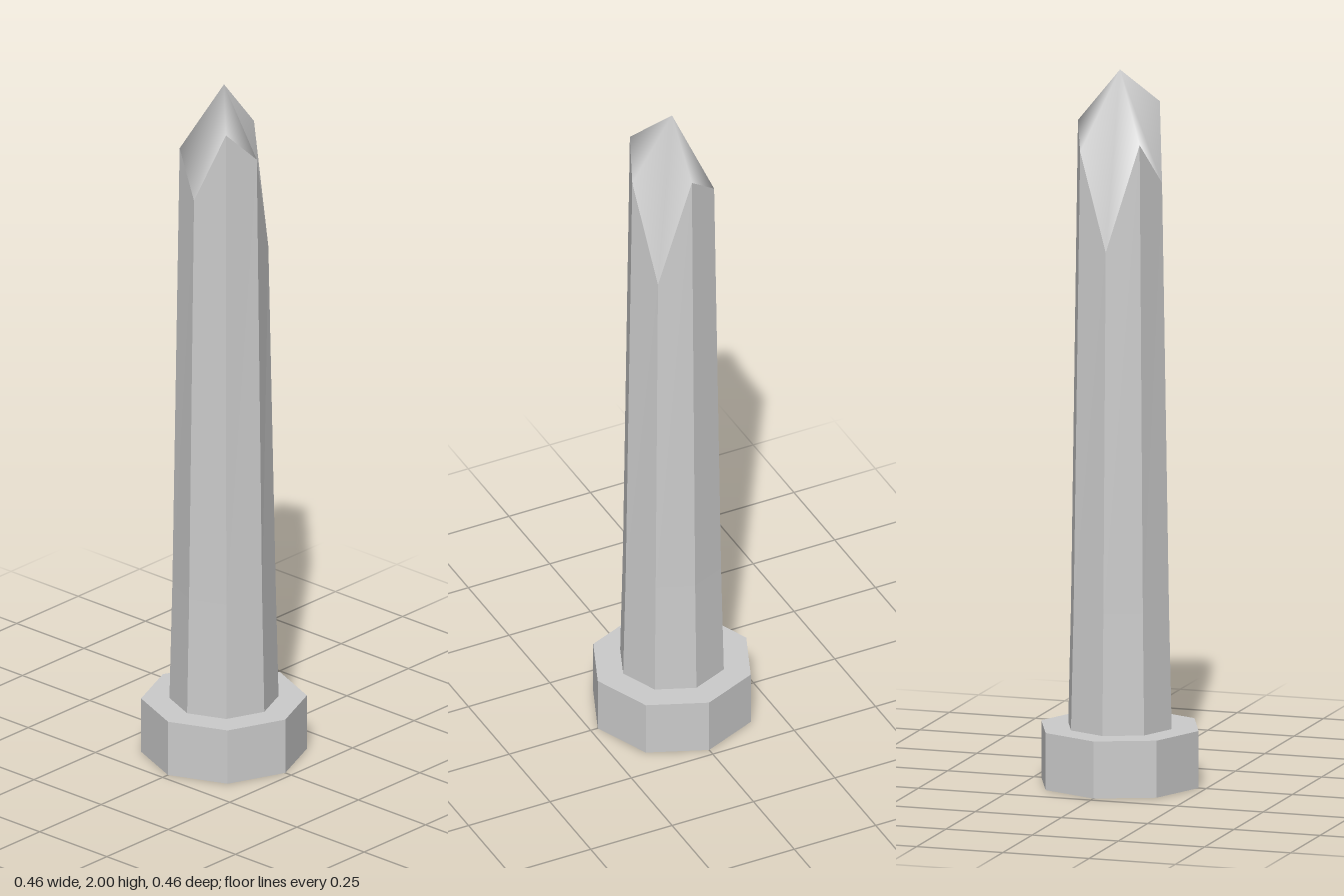
import * as THREE from 'three';

const SIDES = 8;
const FOOT_HEIGHT = 0.16;
const TIP_RADIUS = 0.122;
// Height of each shaft corner, counted from +z towards +x
const CORNER_HEIGHTS = [1.69, 1.9, 1.81, 1.51, 1.85, 1.78, 1.51, 1.81];

function part(name, geometry, flatShading) {
  const material = new THREE.MeshStandardMaterial({ color: 0xcccccc, flatShading });
  const mesh = new THREE.Mesh(geometry, material);
  mesh.name = name;
  return mesh;
}

// Octagonal tapered shaft whose upper rim is broken off unevenly
function shaftGeometry() {
  const geometry = new THREE.CylinderGeometry(1, 1, 1, SIDES, 2, true);
  const pos = geometry.attributes.position;
  const radii = [TIP_RADIUS, 0.142, 0.15];
  for (let i = 0; i < pos.count; i++) {
    const row = Math.floor(i / (SIDES + 1));
    const corner = (i % (SIDES + 1)) % SIDES;
    const y = [CORNER_HEIGHTS[corner], 0.5, FOOT_HEIGHT][row];
    pos.setXYZ(i, pos.getX(i) * radii[row], y, pos.getZ(i) * radii[row]);
  }
  geometry.computeVertexNormals();
  return geometry;
}

// Fan from the uneven rim up to a central point, smoothly shaded
function tipGeometry() {
  const points = [0, 2, 0];
  const index = [];
  CORNER_HEIGHTS.forEach((y, i) => {
    const a = (i / SIDES) * Math.PI * 2;
    points.push(Math.sin(a) * TIP_RADIUS, y, Math.cos(a) * TIP_RADIUS);
    index.push(0, 1 + i, 1 + ((i + 1) % SIDES));
  });
  const geometry = new THREE.BufferGeometry();
  geometry.setAttribute('position', new THREE.Float32BufferAttribute(points, 3));
  geometry.setIndex(index);
  geometry.computeVertexNormals();
  return geometry;
}

export function createModel() {
  const group = new THREE.Group();
  group.name = 'post';

  // Wide octagonal foot
  const foot = part('foot', new THREE.CylinderGeometry(0.228, 0.228, FOOT_HEIGHT, SIDES), true);
  foot.position.y = FOOT_HEIGHT / 2;

  group.add(foot, part('shaft', shaftGeometry(), true), part('tip', tipGeometry(), false));
  return group;
}
